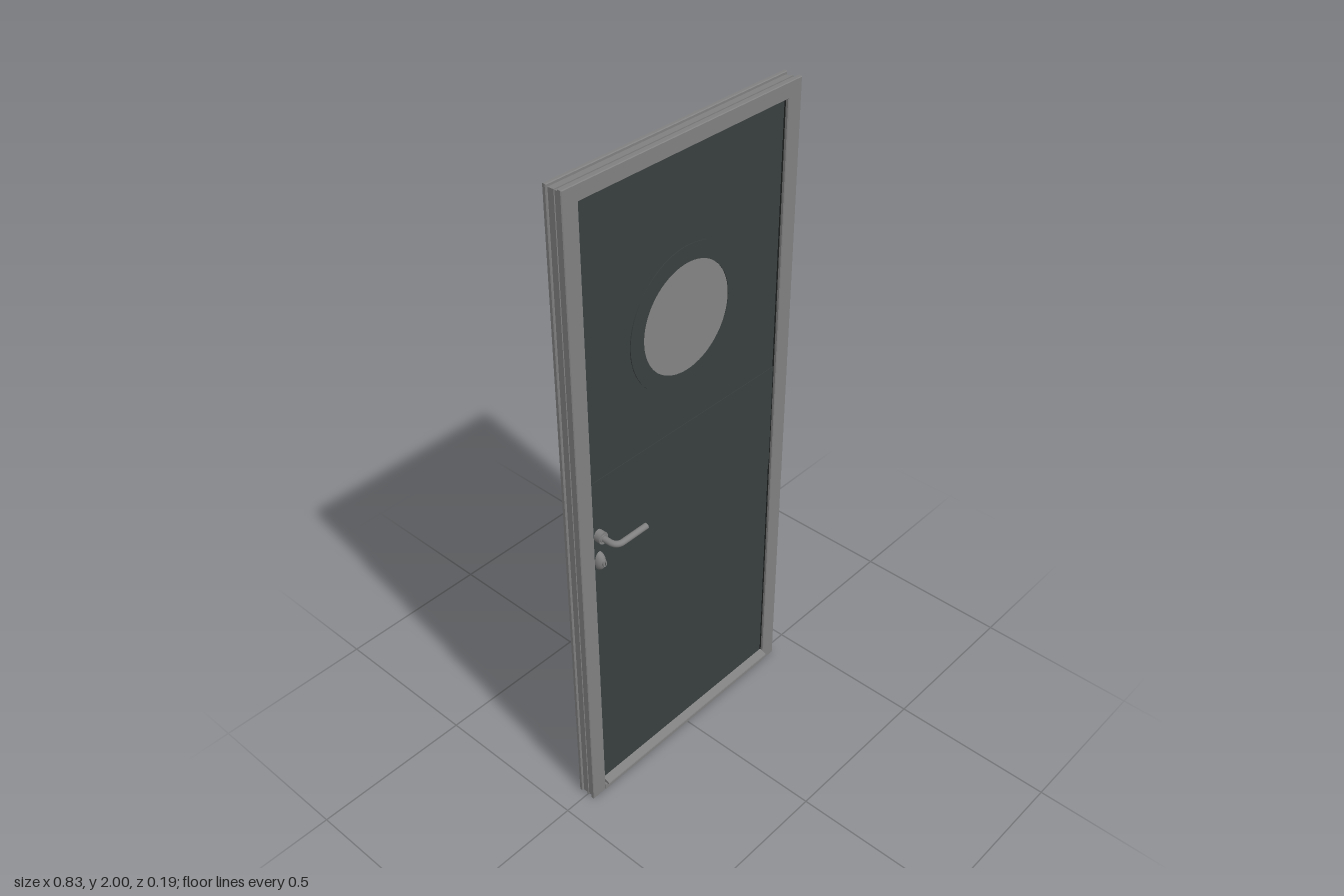
import * as THREE from 'three';

const mat = (name, color) => {
  const m = new THREE.MeshStandardMaterial({ color });
  m.name = name;
  return m;
};

export function createModel() {
  const door = new THREE.Group();
  door.name = 'door';
  const metal = mat('grey metal', 0x808080);
  const glassMat = mat('grey glass', 0x848484);
  const paint = mat('anthracite paint', 0x383e3e);
  const rubber = mat('black rubber', 0x1c1f1f);

  const add = (name, geo, material, parent = door) => {
    const m = new THREE.Mesh(geo, material);
    m.name = name;
    parent.add(m);
    return m;
  };
  const rect = (Type, w, y0, y1) => new Type([
    [-w, y0], [w, y0], [w, y1], [-w, y1]].map(p => new THREE.Vector2(...p)));
  const circle = (Type, r, y) => {
    const p = new Type();
    p.absarc(0, y, r, 0, Math.PI * 2, false);
    return p;
  };
  // Flat plate between two depths, with an optional small bevel
  const plate = (name, shape, z0, z1, material, b = 0) => {
    const geo = new THREE.ExtrudeGeometry(shape, {
      depth: z1 - z0 - 2 * b, bevelEnabled: b > 0, bevelThickness: b,
      bevelSize: b, bevelOffset: -b, bevelSegments: 1, curveSegments: 40 });
    geo.translate(0, 0, z0 + b);
    return add(name, geo, material);
  };
  // Three-sided surround, open at the floor
  const surround = (name, wo, top, wi, topIn, z0, z1, material, y0 = 0, b = 0) => {
    const s = new THREE.Shape([
      [-wo, y0], [-wi, y0], [-wi, topIn], [wi, topIn],
      [wi, y0], [wo, y0], [wo, top], [-wo, top]].map(p => new THREE.Vector2(...p)));
    return plate(name, s, z0, z1, material, b);
  };

  // Rebated frame: two flanges with a recessed web between them
  surround('frameFrontFlange', 0.417, 2, 0.366, 1.955, 0.014, 0.027, metal, 0, 0.002);
  surround('frameWeb', 0.411, 1.992, 0.396, 1.979, -0.021, 0.014, metal);
  surround('frameWebRib', 0.414, 1.995, 0.41, 1.991, -0.004, 0.001, metal);
  surround('frameBackFlange', 0.417, 2, 0.397, 1.98, -0.033, -0.021, metal, 0, 0.002);
  surround('frontSeal', 0.366, 1.955, 0.362, 1.951, 0.012, 0.0185, rubber, 0.02);
  surround('backSeal', 0.397, 1.98, 0.394, 1.977, -0.029, -0.022, rubber, 0.012);

  // Threshold
  plate('threshold', rect(THREE.Shape, 0.366, 0, 0.02), 0.012, 0.027, metal);
  plate('thresholdBase', rect(THREE.Shape, 0.411, 0, 0.012), -0.031, 0.012, metal);

  // Door leaf: narrow front skin and wider rebated back, pierced by the round window
  const R = 0.159, WY = 1.485;
  const front = rect(THREE.Shape, 0.364, 0.022, 1.953);
  const back = rect(THREE.Shape, 0.394, 0.012, 1.977);
  for (const s of [front, back]) s.holes.push(circle(THREE.Path, R, WY));
  plate('leafFront', front, 0.01, 0.017, paint);
  plate('leafBack', back, -0.03, 0.01, paint);
  plate('middlePanel', rect(THREE.Shape, 0.362, 0.81, 1.156), 0.017, 0.019, paint);
  const ring = circle(THREE.Shape, 0.207, WY);
  ring.holes.push(circle(THREE.Path, R, WY));
  plate('windowRing', ring, 0.017, 0.0195, paint);
  plate('windowGlass', circle(THREE.Shape, R, WY), -0.028, 0.0175, glassMat);

  // Sloping rain deflector along the foot of the leaf
  const drip = new THREE.Shape([
    [0.016, 0.03], [0.037, 0.03], [0.041, 0.033], [0.04, 0.036], [0.016, 0.046]]
    .map(([z, y]) => new THREE.Vector2(-z, y)));
  const dripGeo = new THREE.ExtrudeGeometry(drip, { depth: 0.73, bevelEnabled: false });
  dripGeo.rotateY(Math.PI / 2);
  dripGeo.translate(-0.365, 0, 0);
  add('rainDeflector', dripGeo, metal);

  // Lever handle and lock rosette on each face
  const HX = -0.344, HY = 0.98, LY = 0.893;
  const hardware = (name, s, face, rose, reach) => {
    const g = new THREE.Group();
    g.name = name;
    door.add(g);
    const disc = (part, r, z0, z1, y, material, stretch = 1) => {
      const geo = new THREE.CylinderGeometry(r, r, Math.abs(z1 - z0), 28);
      geo.rotateX(Math.PI / 2);
      geo.scale(1, stretch, 1);
      geo.translate(HX, y, (z0 + z1) / 2);
      add(part, geo, material, g);
    };
    disc('leverRosette', 0.016, face, rose, HY, metal, 1.2);
    disc('leverCollar', 0.012, rose, rose + s * 0.003, HY, metal);

    const bend = 0.025, v = (x, z) => new THREE.Vector3(x, HY, z);
    const path = new THREE.CurvePath();
    path.add(new THREE.LineCurve3(v(HX, face), v(HX, reach - s * bend)));
    path.add(new THREE.QuadraticBezierCurve3(
      v(HX, reach - s * bend), v(HX, reach), v(HX + bend, reach)));
    path.add(new THREE.LineCurve3(v(HX + bend, reach), v(-0.232, reach)));
    add('lever', new THREE.TubeGeometry(path, 48, 0.009, 16), metal, g);
    const cap = new THREE.CircleGeometry(0.009, 16);
    cap.rotateY(Math.PI / 2);
    cap.translate(-0.232, HY, reach);
    add('leverEnd', cap, metal, g);

    // Domed lock rosette with cylinder and key slot
    const dome = new THREE.SphereGeometry(1, 28, 16);
    dome.scale(0.016, 0.03, Math.abs(rose - face));
    dome.translate(HX, LY, face);
    add('lockRosette', dome, metal, g);
    disc('lockCylinder', 0.007, face, rose + s * 0.002, LY, metal, 1.5);
    const slot = new THREE.BoxGeometry(0.002, 0.009, 0.001);
    slot.translate(HX, LY, rose + s * 0.0022);
    add('keySlot', slot, rubber, g);
  };
  hardware('frontHandle', 1, 0.017, 0.039, 0.086);
  hardware('backHandle', -1, -0.03, -0.044, -0.091);

  return door;
}
